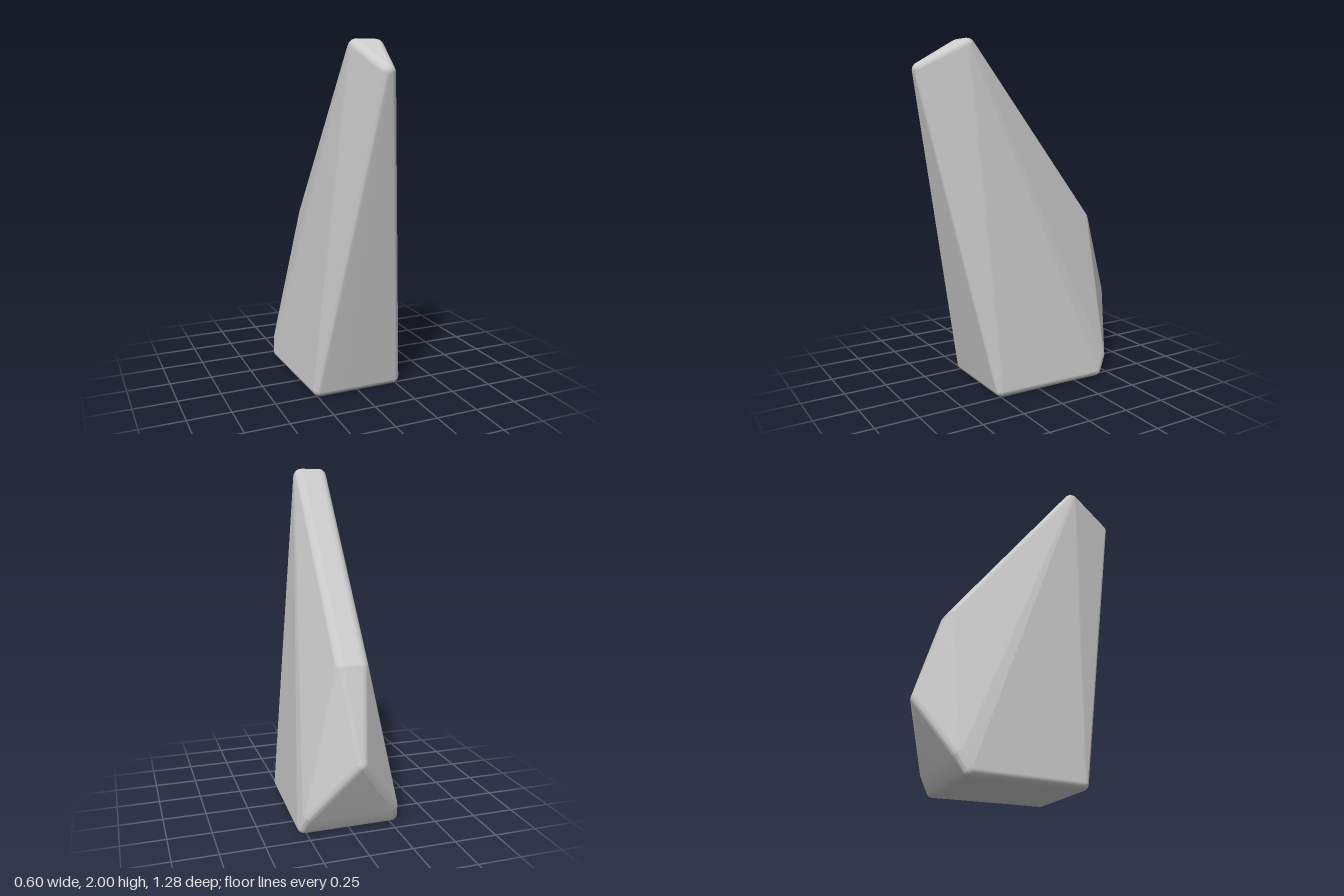
import * as THREE from 'three';
import { ConvexGeometry } from 'three/addons/geometries/ConvexGeometry.js';
import { mergeVertices } from 'three/addons/utils/BufferGeometryUtils.js';

// Convex solid with rounded edges: the hull of a small ball at every corner.
// Each corner is [x, y, z, radius]; corners off the centre plane are mirrored.
function roundedHull(corners) {
  const points = [];
  for (const [x, y, z, r] of corners) {
    const ball = new THREE.SphereGeometry(r, 16, 12).attributes.position;
    for (const side of x === 0 ? [1] : [1, -1]) {
      for (let i = 0; i < ball.count; i++) {
        const p = new THREE.Vector3().fromBufferAttribute(ball, i);
        points.push(p.add(new THREE.Vector3(side * x, y, z)));
      }
    }
  }
  const hull = new ConvexGeometry(points);
  hull.deleteAttribute('normal');
  const smooth = mergeVertices(hull, 1e-5);
  smooth.computeVertexNormals(); // area weighted, so the large faces stay flat
  return smooth;
}

export function createModel() {
  const group = new THREE.Group();
  group.name = 'taperedWedge';

  const corners = [
    [0.235, 0.04, 0.24, 0.04],   // base, front
    [0.26, 0.04, -0.4, 0.04],    // base, back
    [0.238, 0.12, -0.44, 0.045], // back corner just above the base
    [0, 0.45, -0.59, 0.05],      // rear point
    [0.05, 0.94, -0.43, 0.05],   // shoulder at the foot of the spine
    [0.053, 1.95, 0.345, 0.05],  // top of the spine
    [0, 1.825, 0.597, 0.043],    // front tip
  ];

  const body = new THREE.Mesh(
    roundedHull(corners),
    new THREE.MeshStandardMaterial({ color: 0xcccccc })
  );
  body.name = 'wedgeBody';
  group.add(body);
  return group;
}
